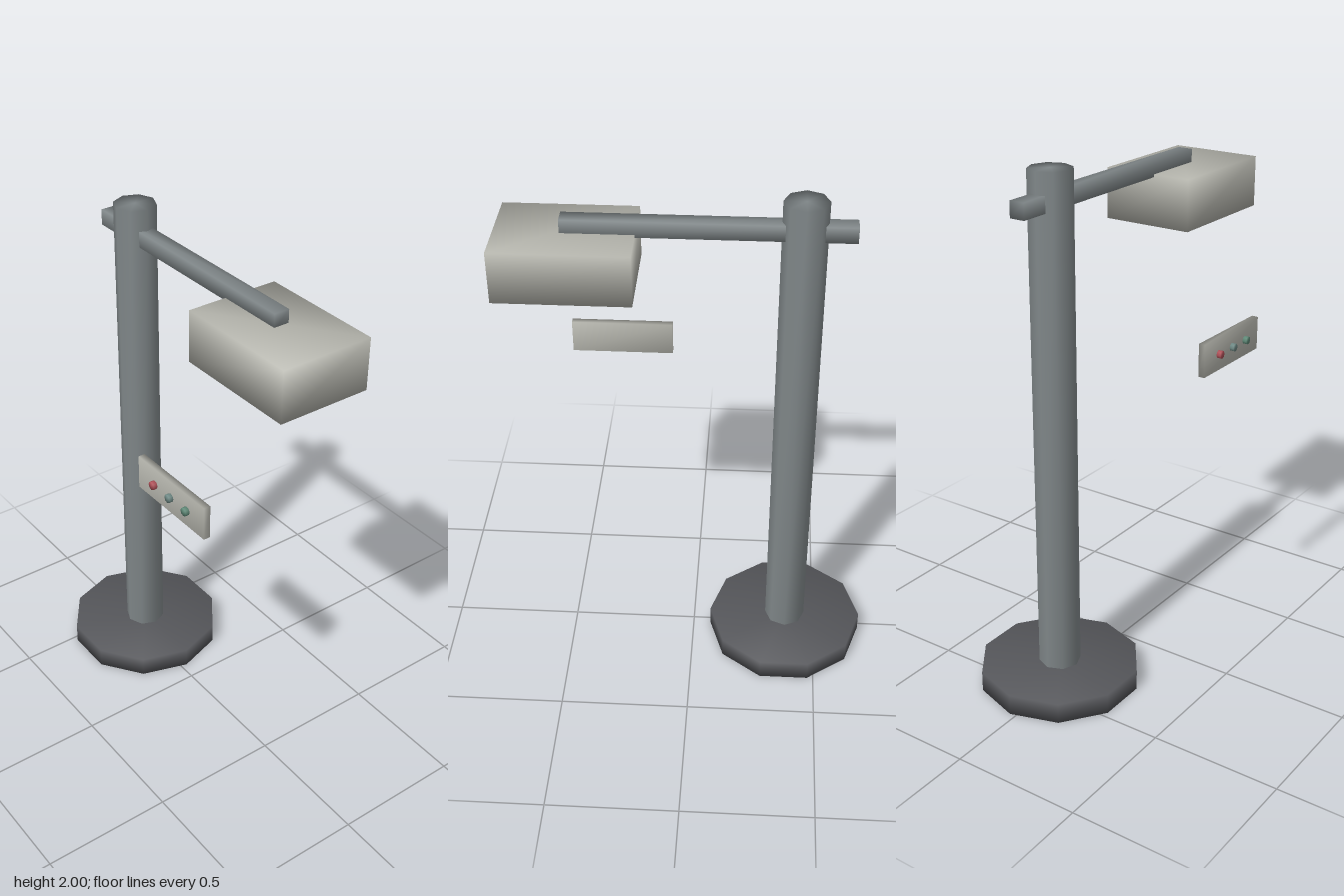
import * as THREE from 'three';
import { mergeVertices } from 'three/addons/utils/BufferGeometryUtils.js';

// Welds all corners so normals are averaged across every edge
function soften(geometry) {
  geometry.deleteAttribute('normal');
  geometry.deleteAttribute('uv');
  const welded = mergeVertices(geometry, 1e-4);
  welded.computeVertexNormals();
  return welded;
}

export function createModel() {
  const model = new THREE.Group();
  model.name = 'deskLamp';

  const material = (color) => new THREE.MeshStandardMaterial({ color });
  const darkMetal = material(0x55565a);
  const steel = material(0x7f8688);
  const shell = material(0xb4b4ac);

  const add = (name, geometry, mat, x, y, z) => {
    const mesh = new THREE.Mesh(soften(geometry), mat);
    mesh.name = name;
    mesh.position.set(x, y, z);
    model.add(mesh);
    return mesh;
  };

  const axisX = -0.38, axisZ = -0.025;

  // Ten-sided foot with corners on the x axis
  add('base', new THREE.CylinderGeometry(0.31, 0.31, 0.08, 10).rotateY(Math.PI / 2),
    darkMetal, axisX, 0.04, axisZ);

  // Eight-sided column
  add('pole', new THREE.CylinderGeometry(0.08, 0.08, 1.92, 8), steel, axisX, 1.04, axisZ);

  // Cross arm running through the column
  add('arm', new THREE.BoxGeometry(1.02, 0.06, 0.06), steel, -0.05, 1.89, axisZ);

  // Lamp head below the end of the arm
  add('lampHead', new THREE.BoxGeometry(0.49, 0.195, 0.36), shell, 0.445, 1.7725, axisZ);

  // Control panel with three buttons
  add('controlPanel', new THREE.BoxGeometry(0.39, 0.13, 0.026), shell, 0.295, 1.23, 0.291);
  [0xb05058, 0x6f8a86, 0x5f8a78].forEach((color, i) => {
    add('button' + (i + 1), new THREE.CylinderGeometry(0.016, 0.016, 0.02, 8).rotateX(Math.PI / 2),
      material(color), 0.2 + i * 0.096, 1.23, 0.31);
  });

  return model;
}
